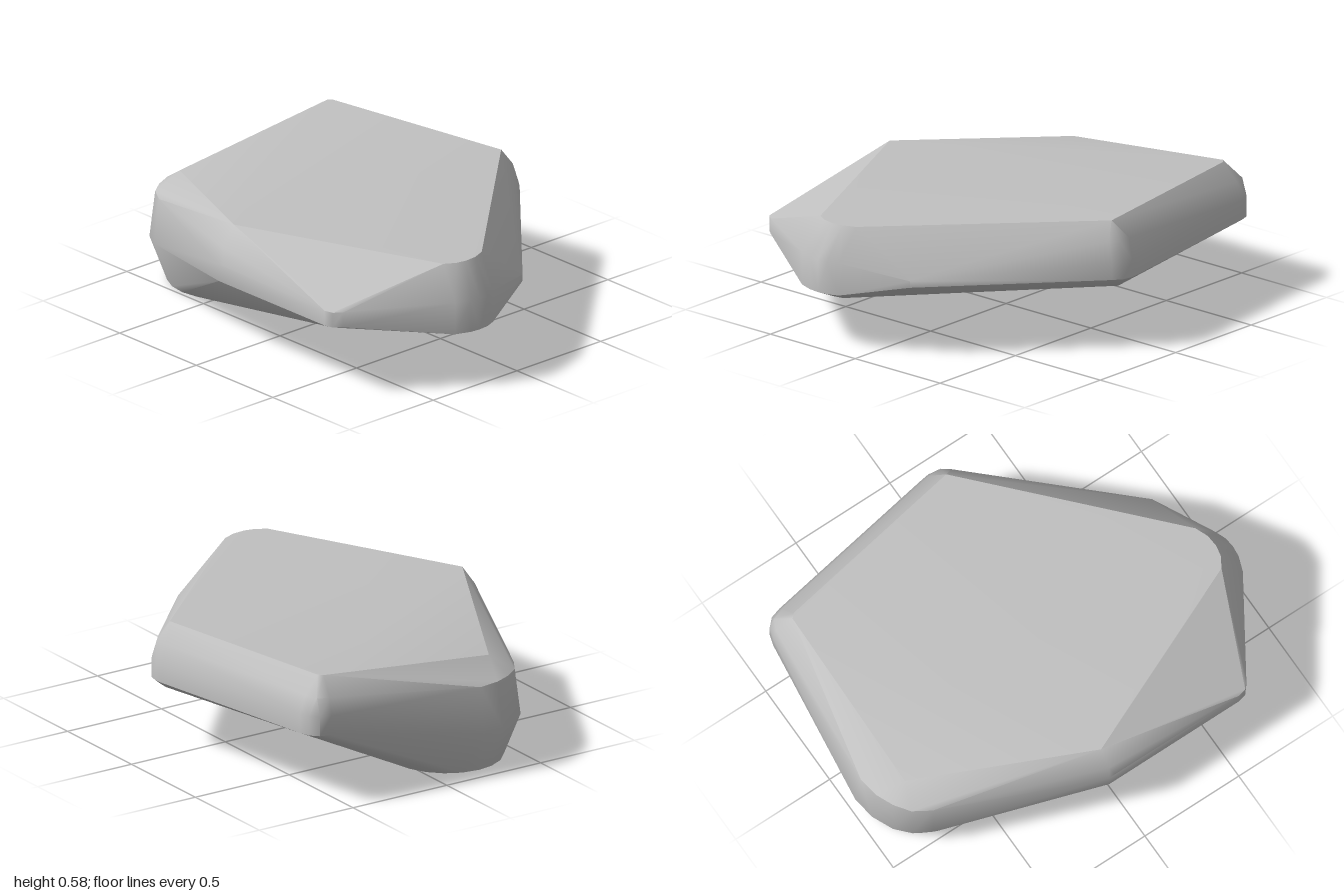
import * as THREE from 'three';
import { ConvexGeometry } from 'three/addons/geometries/ConvexGeometry.js';

// Area-weighted normals: the flat top facets keep crisp edges, the worn rims blend
function weightNormals(geometry) {
  const pos = geometry.attributes.position;
  const corners = [];
  for (let i = 0; i < pos.count; i += 3) {
    const [a, b, c] = [0, 1, 2].map((k) => new THREE.Vector3().fromBufferAttribute(pos, i + k));
    const weighted = b.clone().sub(a).cross(c.clone().sub(a));
    const unit = weighted.clone().normalize();
    for (const point of [a, b, c]) corners.push({ point, weighted, unit });
  }
  corners.forEach((corner, i) => {
    const sum = new THREE.Vector3();
    for (const other of corners) {
      if (other.point.distanceToSquared(corner.point) > 1e-10) continue;
      const crease = Math.max(corner.unit.y, other.unit.y) > 0.87 ? 0.25 : 0.7;
      if (other === corner || corner.unit.angleTo(other.unit) < crease) sum.add(other.weighted);
    }
    sum.normalize();
    geometry.attributes.normal.setXYZ(i, sum.x, sum.y, sum.z);
  });
  return geometry;
}

export function createModel() {
  const group = new THREE.Group();
  group.name = 'rock';
  const stone = new THREE.MeshStandardMaterial({ color: 0xc0c0c0 });
  stone.name = 'grey stone';

  const points = [];
  const add = (x, y, z) => points.push(new THREE.Vector3(x, y, z));
  // The same outline repeated at several heights
  const ring = (heights, outline) => heights.forEach((y) => outline.forEach(([x, z]) => add(x, y, z)));

  // Flat top
  ring([0.58], [[-0.81, -0.56], [-0.83, -0.54], [0.11, -0.72], [-0.05, 0.73]]);
  ring([0.56], [[0.88, 0.1], [0.905, 0.16], [0.91, 0.22], [0.9, 0.27], [0.87, 0.32]]);

  // Back left corner
  ring([0.33, 0.42], [[-0.92, -0.56], [-0.905, -0.61], [-0.87, -0.645], [-0.82, -0.66]]);
  ring([0.5], [[-0.905, -0.56], [-0.88, -0.61], [-0.82, -0.63]]);

  // Back corner
  ring([0.33, 0.41], [[0.04, -0.81], [0.08, -0.815], [0.13, -0.805], [0.17, -0.775]]);
  ring([0.5], [[0.06, -0.78], [0.12, -0.78], [0.16, -0.75]]);
  add(0.1, 0.28, -0.75);

  // Right end
  ring([0.33, 0.36], [[0.84, -0.18]]);
  ring([0.26, 0.41], [[0.975, 0.12], [0.995, 0.17], [1, 0.22], [0.995, 0.27], [0.97, 0.34]]);
  ring([0.22], [[0.9, 0.16], [0.91, 0.22], [0.9, 0.27]]);

  // Front edge and its right corner
  ring([0.33, 0.4], [[0.63, 0.81], [0.67, 0.8], [0.7, 0.765]]);
  ring([0.33, 0.41], [[-0.06, 0.81], [-0.03, 0.81]]);
  add(-0.05, 0.49, 0.795);

  // Rounded left end
  add(-0.83, 0.49, 0.34);
  ring([0.41], [[-0.97, 0.2], [-0.955, 0.3], [-0.92, 0.38], [-0.87, 0.45], [-0.79, 0.5]]);
  ring([0.2], [[-1, 0.2], [-0.985, 0.31], [-0.94, 0.41], [-0.88, 0.475], [-0.8, 0.52]]);

  // Small round foot
  for (let i = 0; i < 20; i++) {
    const a = (i / 20) * Math.PI * 2;
    add(-0.66 + 0.26 * Math.cos(a), 0, 0.225 + 0.255 * Math.sin(a));
  }

  const body = new THREE.Mesh(weightNormals(new ConvexGeometry(points)), stone);
  body.name = 'boulder';
  group.add(body);
  return group;
}
